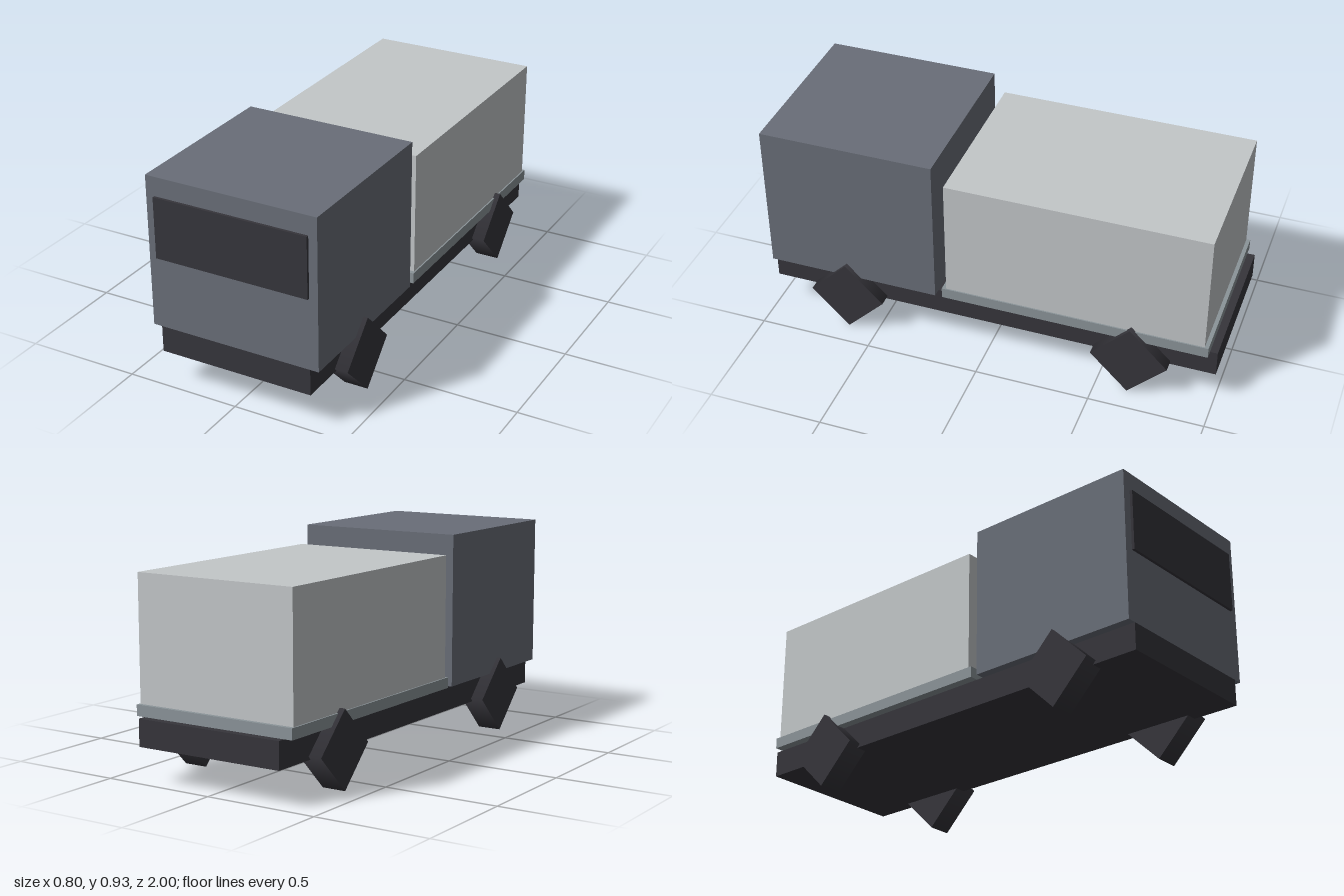
import * as THREE from 'three';

const material = (name, color) => {
  const m = new THREE.MeshStandardMaterial({ color });
  m.name = name;
  return m;
};

export function createModel() {
  const cabBlue = material('slate blue', 0x696e78);
  const cargoGrey = material('light grey', 0xc3c7c9);
  const bedGrey = material('mid grey', 0x8b9499);
  const charcoal = material('charcoal', 0x36353b);

  const truck = new THREE.Group();
  truck.name = 'truck';

  // Box from its half width and its y and z limits
  const addBox = (name, mat, halfWidth, y0, y1, z0, z1) => {
    const mesh = new THREE.Mesh(new THREE.BoxGeometry(halfWidth * 2, y1 - y0, z1 - z0), mat);
    mesh.position.set(0, (y0 + y1) / 2, (z0 + z1) / 2);
    mesh.name = name;
    truck.add(mesh);
  };

  addBox('chassis', charcoal, 0.342, 0.152, 0.267, -1, 0.988);
  addBox('cab', cabBlue, 0.38, 0.267, 0.928, 0.225, 0.988);
  addBox('windscreen', charcoal, 0.342, 0.58, 0.845, 0.987, 1);
  addBox('cargoBed', bedGrey, 0.38, 0.267, 0.314, -0.967, 0.194);
  addBox('cargoBox', cargoGrey, 0.374, 0.314, 0.845, -0.95, 0.176);

  // Four-sided wheels standing on a corner
  const wheelGeometry = new THREE.CylinderGeometry(0.166, 0.166, 0.106, 4);
  wheelGeometry.rotateZ(Math.PI / 2);
  for (const [end, z] of [['front', 0.632], ['rear', -0.64]]) {
    for (const [side, x] of [['Left', 0.347], ['Right', -0.347]]) {
      const wheel = new THREE.Mesh(wheelGeometry, charcoal);
      wheel.position.set(x, 0.166, z);
      wheel.name = `${end}${side}Wheel`;
      truck.add(wheel);
    }
  }
  return truck;
}
